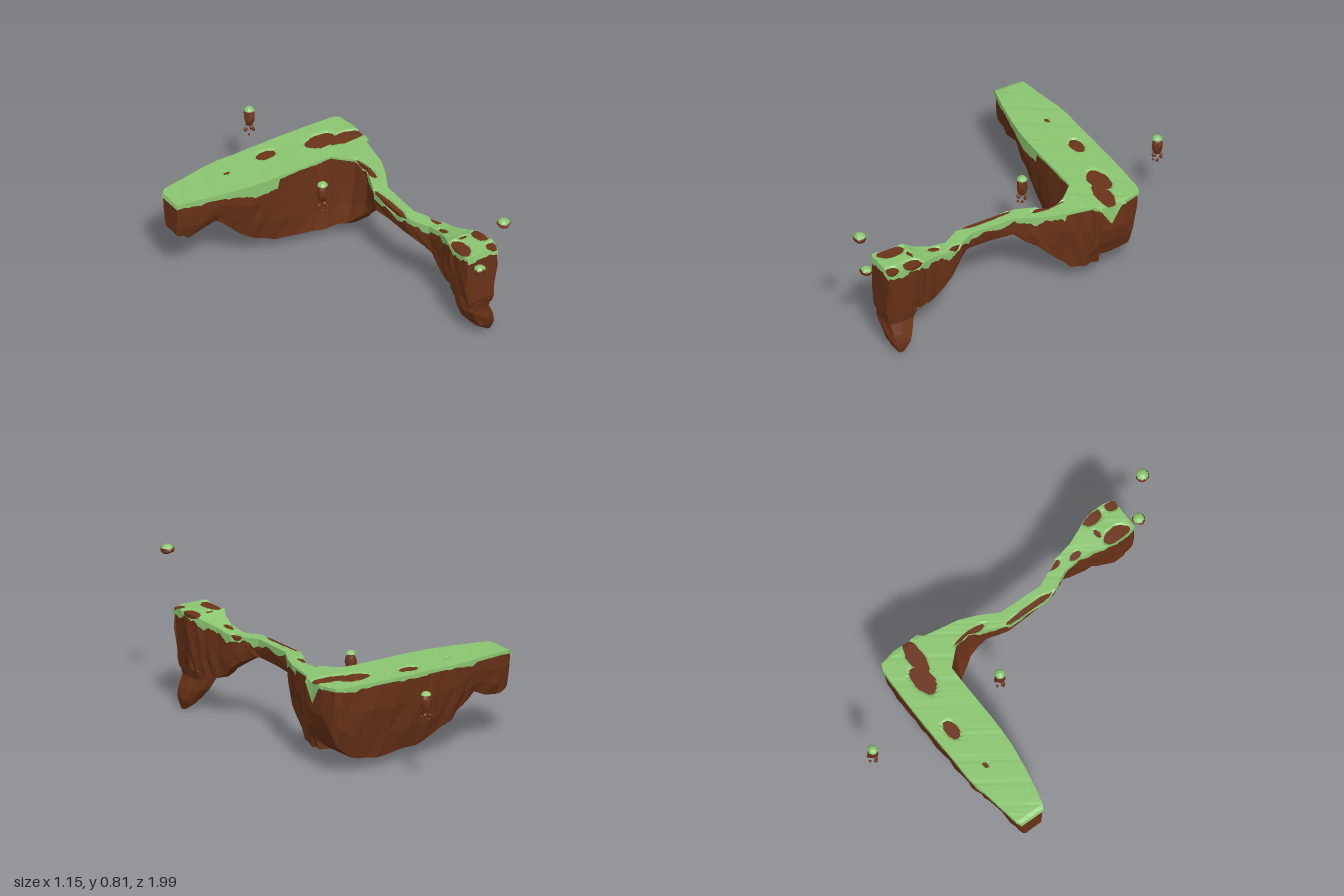
import * as THREE from 'three';

const SOIL = 0x6b3318, GRASS = 0x8bc671;
const lerp = THREE.MathUtils.lerp;

// repeatable position-based noise in -1..1, and a smooth ripple
const hash = (x, y, z) => {
  const s = Math.sin(x * 127.1 + y * 311.7 + z * 74.7) * 4375.85;
  return (s - Math.floor(s)) * 2 - 1;
};
const ripple = t => Math.sin(t * 37) * 0.5 + Math.sin(t * 83 + 1) * 0.3 + Math.sin(t * 171 + 2) * 0.2;

const material = (color, side = THREE.FrontSide) =>
  new THREE.MeshStandardMaterial({ color, side, flatShading: true });

function mesh(name, geometry, color, side) {
  const m = new THREE.Mesh(geometry, material(color, side));
  m.name = name;
  return m;
}

// skin a list of rings; closed rings get end caps, open ones stay a sheet
function skin(rings, closed) {
  const n = rings[0].length, pos = rings.flat(2), idx = [];
  for (let i = 0; i < rings.length - 1; i++)
    for (let j = 0; j < (closed ? n : n - 1); j++) {
      const k = (j + 1) % n, a = i * n + j, b = i * n + k, c = a + n, d = b + n;
      idx.push(a, c, b, b, c, d);
    }
  if (closed) [0, rings.length - 1].forEach((r, end) => {
    const centre = pos.length / 3;
    for (let c = 0; c < 3; c++) pos.push(rings[r].reduce((s, p) => s + p[c], 0) / n);
    for (let j = 0; j < n; j++) {
      const a = r * n + j, b = r * n + (j + 1) % n;
      end ? idx.push(centre, b, a) : idx.push(centre, a, b);
    }
  });
  // turn the faces outwards using the signed volume
  const v = i => new THREE.Vector3().fromArray(pos, i * 3);
  let volume = 0;
  for (let i = 0; i < idx.length; i += 3) volume += v(idx[i]).dot(v(idx[i + 1]).cross(v(idx[i + 2])));
  if (closed && volume < 0) idx.reverse();
  const g = new THREE.BufferGeometry();
  g.setAttribute('position', new THREE.Float32BufferAttribute(pos, 3));
  g.setIndex(idx);
  g.computeVertexNormals();
  return g;
}

// split every gap between stations into n
function resample(rows, n) {
  const out = [];
  for (let i = 0; i < rows.length - 1; i++)
    for (let k = 0; k < n; k++) out.push(rows[i].map((v, c) => lerp(v, rows[i + 1][c], k / n)));
  return [...out, rows[rows.length - 1]];
}

// stations: [along, edgeA, edgeB, bottom, keelA, keelB, top]
const slab = [
  [-0.57, -0.59, -0.46, 0.29, -0.57, -0.47, 0.465],
  [-0.55, -0.605, -0.45, 0.27, -0.58, -0.47, 0.475],
  [-0.49, -0.615, -0.435, 0.24, -0.57, -0.48, 0.478],
  [-0.34, -0.64, -0.405, 0.295, -0.6, -0.45, 0.48],
  [-0.27, -0.655, -0.395, 0.24, -0.6, -0.44, 0.48],
  [-0.2, -0.662, -0.385, 0.17, -0.6, -0.44, 0.48],
  [-0.1, -0.662, -0.38, 0.11, -0.59, -0.43, 0.48],
  [0, -0.665, -0.38, 0.07, -0.59, -0.42, 0.48],
  [0.2, -0.67, -0.385, 0.063, -0.6, -0.38, 0.48],
  [0.32, -0.67, -0.385, 0.06, -0.6, -0.36, 0.48],
  [0.42, -0.668, -0.385, 0.085, -0.6, -0.36, 0.48],
  [0.51, -0.665, -0.39, 0.15, -0.61, -0.38, 0.48],
  [0.545, -0.65, -0.4, 0.24, -0.6, -0.41, 0.48],
  [0.565, -0.56, -0.42, 0.33, -0.55, -0.43, 0.475],
];
const bridge = [
  [-0.44, 0.28, 0.545, 0.09, 0.27, 0.5, 0.479],
  [-0.37, 0.33, 0.53, 0.095, 0.28, 0.5, 0.479],
  [-0.29, 0.405, 0.515, 0.11, 0.35, 0.48, 0.479],
  [-0.2, 0.42, 0.5, 0.2, 0.4, 0.48, 0.478],
  [-0.1, 0.375, 0.46, 0.3, 0.39, 0.45, 0.476],
  [0, 0.335, 0.405, 0.37, 0.345, 0.395, 0.474],
  [0.25, 0.335, 0.4, 0.38, 0.345, 0.39, 0.474],
  [0.31, 0.355, 0.43, 0.37, 0.365, 0.42, 0.472],
  [0.4, 0.405, 0.475, 0.3, 0.42, 0.465, 0.468],
  [0.5, 0.41, 0.49, 0.215, 0.43, 0.475, 0.485],
  [0.58, 0.39, 0.52, 0.215, 0.41, 0.5, 0.505],
  [0.63, 0.365, 0.545, 0.22, 0.385, 0.52, 0.525],
  [0.68, 0.36, 0.555, 0.22, 0.375, 0.53, 0.528],
  [0.8, 0.36, 0.55, 0.2, 0.375, 0.52, 0.526],
  [0.815, 0.37, 0.54, 0.25, 0.38, 0.52, 0.524],
];

// place (along, across) on x/z for the slab, z/x for the bridge
const place = (alongX, t, s, y) => (alongX ? [t, y, s] : [s, y, t]);

function soilBody(rows, alongX) {
  return skin(resample(rows, 2).map(([t, a, b, low, ka, kb, top]) => {
    const side = (e, k, f) => [lerp(e, k, f * f), lerp(top, low, f)];
    const ring = [[a, top], [lerp(a, b, 0.5), top], [b, top], side(b, kb, 0.35), side(b, kb, 0.7),
      [kb, low], [lerp(ka, kb, 0.5), low - 0.004], [ka, low], side(a, ka, 0.7), side(a, ka, 0.35)];
    return ring.map(([s, y]) => {
      const j = y < top - 0.1 * Math.min(1, (top - low) / 0.2) ? 0.008 : 0;
      return place(alongX, t, s + j * hash(t, y, s), y + j * hash(s, t, y));
    });
  }), true);
}

// bare spots: [x, z, radiusX, radiusZ]
const bare = [
  [0.05, -0.58, 0.055, 0.032], [-0.21, -0.55, 0.014, 0.01], [0.35, -0.535, 0.08, 0.05],
  [0.47, -0.49, 0.1, 0.04], [0.385, 0.72, 0.04, 0.07], [0.54, 0.67, 0.045, 0.055],
  [0.45, 0.64, 0.025, 0.012], [0.43, 0.49, 0.017, 0.03], [0.34, 0.14, 0.02, 0.14],
  [0.46, 0.37, 0.02, 0.04], [0.41, -0.2, 0.018, 0.09], [0.53, 0.79, 0.03, 0.03],
];
function turf(x, z) {
  let lift = 0.008 + 0.002 * ripple(x + z * 0.7);
  for (const [cx, cz, rx, rz] of bare) {
    const d = Math.hypot((x - cx) / rx, (z - cz) / rz) + 0.15 * ripple((x - z) * 0.8);
    lift = Math.min(lift, lerp(-0.02, 0.008, THREE.MathUtils.clamp((d - 0.6) * 1.6, 0, 1)));
  }
  return lift;
}

// turf sheet with ragged hems; hem(t, side) and endHem(s, end) give the overhang
function turfSheet(rows, alongX, hem, endHem) {
  const N = 20, OUT = 0.007, fine = resample(rows, 7);
  const line = ([t, a, b, , , , top], end) => {
    const pts = [];
    const shift = end ? end * OUT : 0;
    const drop = s => (end ? endHem(s, end) : 0);
    const hemA = Math.max(hem(t, 0), drop(a)), hemB = Math.max(hem(t, 1), drop(b));
    pts.push(place(alongX, t + shift, a - OUT, top - hemA));
    for (let j = 0; j <= N; j++) {
      const s = lerp(a - OUT * 0.8, b + OUT * 0.8, j / N);
      const [x, , z] = place(alongX, t, s, 0);
      pts.push(place(alongX, t + shift, s, top + (end ? -drop(s) : turf(x, z))));
    }
    pts.push(place(alongX, t + shift, b + OUT, top - hemB));
    return pts;
  };
  const last = fine[fine.length - 1];
  return skin([line(fine[0], -1), ...fine.map(r => line(r, 0)), line(last, 1)], false);
}

const slabHem = (t, side) => {
  if (!side) return 0.01 + 0.018 * Math.max(0, ripple(t * 0.5));
  const front = t < -0.01 ? 0.022 + 0.045 * THREE.MathUtils.smoothstep(t, -0.33, -0.12) : 0.006;
  return Math.max(0.004, front + 0.008 * ripple(t));
};
const slabEnd = (s, end) => (end > 0 ? 0.008 + 0.1 * Math.max(0, 1 - Math.abs(s + 0.48) / 0.06) : 0.012);
const bridgeHem = (t, side) => (t < -0.25 ? 0.005 : 0.026 + 0.022 * ripple(t + side * 2));
const bridgeEnd = (s, end) => (end > 0 ? 0.022 + 0.012 * ripple(s) : 0);

// hanging foot under the pillar: [y, x0, x1, z0, z1]
function footGeometry() {
  const levels = [[0.32, 0.375, 0.53, 0.62, 0.805], [0.22, 0.37, 0.525, 0.615, 0.81],
    [0.17, 0.375, 0.515, 0.635, 0.805], [0.11, 0.4, 0.54, 0.655, 0.8],
    [0.06, 0.44, 0.55, 0.68, 0.795], [0.03, 0.48, 0.55, 0.7, 0.78], [0.001, 0.52, 0.545, 0.725, 0.755]];
  return skin(levels.map(([y, x0, x1, z0, z1]) => Array.from({ length: 9 }, (_, i) => {
    const a = i / 9 * Math.PI * 2, c = Math.cos(a), s = Math.sin(a), k = 1 / Math.max(Math.abs(c), Math.abs(s));
    const f = 0.5 * lerp(1, k, 0.7), j = y > 0.02 ? 0.006 : 0;
    return [lerp(x0, x1, 0.5 + c * f) + j * hash(i, y, 1), y, lerp(z0, z1, 0.5 + s * f) + j * hash(y, i, 2)];
  })), true);
}

// small lump with uneven faces
function lump(rx, ry, rz, seed) {
  const g = new THREE.IcosahedronGeometry(1, 1), p = g.attributes.position;
  for (let i = 0; i < p.count; i++) {
    const [x, y, z] = [p.getX(i), p.getY(i), p.getZ(i)].map(v => Math.round(v * 1000) / 1000 + 0);
    const k = 1 + 0.13 * hash(x + seed, y, z);
    p.setXYZ(i, x * k * rx, y * k * ry, z * k * rz);
  }
  g.computeVertexNormals();
  return g;
}

function floatingRock(x, y, z, r, ry, crumbs) {
  const g = new THREE.Group();
  g.name = 'floatingRock';
  g.position.set(x, y, z);
  g.add(mesh('rock', lump(r, ry, r * 0.95, x), SOIL));
  const cap = mesh('rockTurf', new THREE.SphereGeometry(1, 9, 4, 0, Math.PI * 2, 0, Math.PI * 0.42), GRASS, THREE.DoubleSide);
  const h = Math.min(ry, 0.024);
  cap.scale.set(r * 0.98, h, r * 0.95);
  cap.position.y = ry - h + 0.003;
  g.add(cap);
  // crumbs trailing underneath
  for (let i = 0; i < crumbs; i++) {
    const size = 0.011 - i * 0.001;
    const c = mesh('crumb', lump(size, size * 1.2, size, i), SOIL);
    c.position.set(0.024 * Math.sin(i * 2.4), -ry - 0.002 - i * 0.008, 0.02 * Math.cos(i * 2.4));
    g.add(c);
  }
  return g;
}

export function createModel() {
  const model = new THREE.Group();
  model.name = 'floatingIsland';
  model.add(
    mesh('mainIsland', soilBody(slab, true), SOIL),
    mesh('bridgeAndPillar', soilBody(bridge, false), SOIL),
    mesh('pillarFoot', footGeometry(), SOIL),
    mesh('mainTurf', turfSheet(slab, true, slabHem, slabEnd), GRASS, THREE.DoubleSide),
    mesh('bridgeTurf', turfSheet(bridge, false, bridgeHem, bridgeEnd), GRASS, THREE.DoubleSide),
    floatingRock(0.2, 0.44, -0.965, 0.03, 0.055, 6),
    floatingRock(0.145, 0.437, -0.2, 0.03, 0.058, 6),
    floatingRock(0.402, 0.477, 0.868, 0.034, 0.023, 0),
    floatingRock(0.49, 0.785, 0.957, 0.035, 0.025, 0),
  );
  return model;
}
